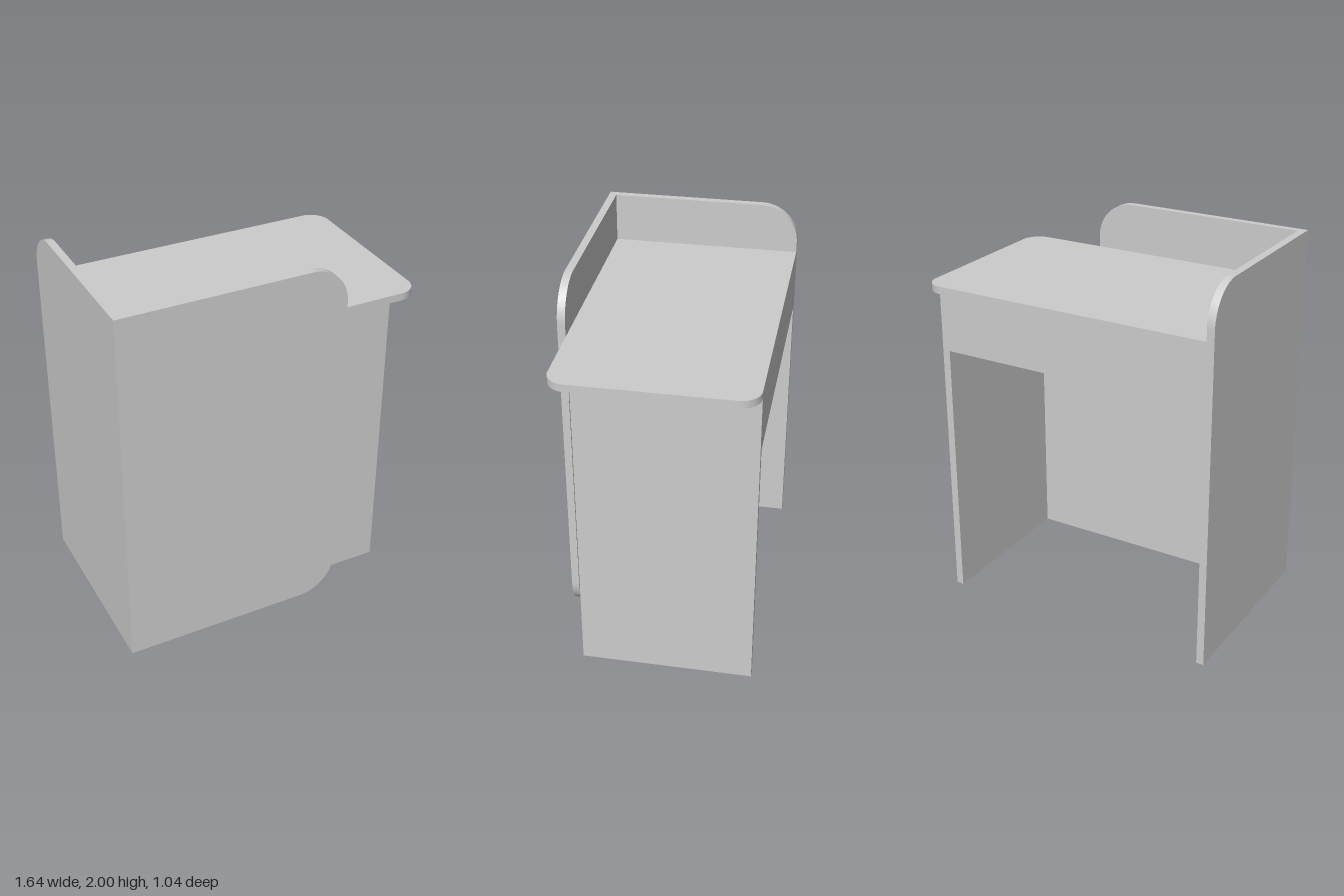
import * as THREE from 'three';

const T = 0.04; // board thickness
const material = new THREE.MeshStandardMaterial({ color: 0xcccccc });

// Rectangle with a radius per corner: [bottom left, bottom right, top right, top left]
function roundedRect(x0, y0, x1, y1, [bl, br, tr, tl]) {
  const s = new THREE.Shape();
  const arc = (x, y, r, a) => { if (r > 0) s.absarc(x, y, r, a, a + Math.PI / 2, false); };
  s.moveTo(x0 + bl, y0);
  s.lineTo(x1 - br, y0);
  arc(x1 - br, y0 + br, br, -Math.PI / 2);
  s.lineTo(x1, y1 - tr);
  arc(x1 - tr, y1 - tr, tr, 0);
  s.lineTo(x0 + tl, y1);
  arc(x0 + tl, y1 - tl, tl, Math.PI / 2);
  s.lineTo(x0, y0 + bl);
  arc(x0 + bl, y0 + bl, bl, Math.PI);
  return s;
}

const board = (shape) =>
  new THREE.ExtrudeGeometry(shape, { depth: T, bevelEnabled: false, curveSegments: 16 });

export function createModel() {
  const model = new THREE.Group();
  model.name = 'receptionDesk';

  const add = (name, geometry) => {
    const mesh = new THREE.Mesh(geometry, material);
    mesh.name = name;
    model.add(mesh);
  };
  const addBox = (name, x0, x1, y0, y1, z0, z1) =>
    add(name, new THREE.BoxGeometry(x1 - x0, y1 - y0, z1 - z0)
      .translate((x0 + x1) / 2, (y0 + y1) / 2, (z0 + z1) / 2));

  // Tall front screen, rounded on its free edge
  add('frontScreen', board(roundedRect(-0.82, 0, 0.38, 2, [0, 0.2, 0.2, 0])).translate(0, 0, 0.48));

  // Tall side screen, drawn in (-z, y) and turned into the side plane
  add('sideScreen', board(roundedRect(-0.48, 0, 0.52, 2, [0, 0, 0.2, 0]))
    .rotateY(Math.PI / 2).translate(-0.82, 0, 0));

  // Worktop with two rounded corners on its open end, drawn in (x, -z)
  add('worktop', board(roundedRect(-0.78, -0.48, 0.82, 0.52, [0, 0.1, 0.1, 0]))
    .rotateX(-Math.PI / 2).translate(0, 1.70, 0));

  // Carcass below the worktop
  addBox('endPanel', 0.68, 0.72, 0, 1.70, -0.52, 0.38);
  addBox('modestyPanel', -0.78, 0.68, 0, 1.70, 0.34, 0.38);
  addBox('drawerBox', -0.78, 0.68, 1.40, 1.70, -0.52, 0.34);

  return model;
}
